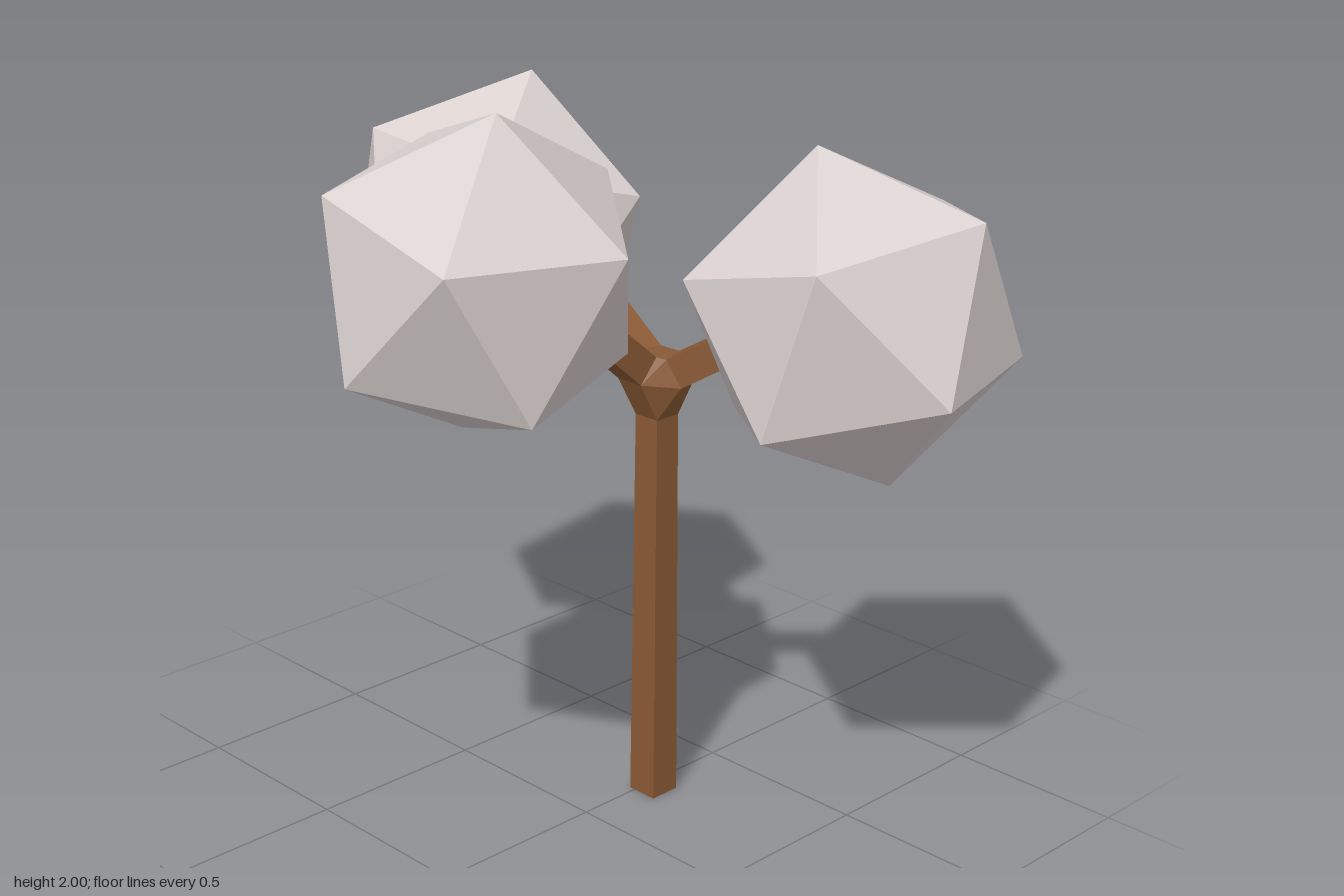
import * as THREE from 'three';
import { ConvexGeometry } from 'three/addons/geometries/ConvexGeometry.js';

const V = (x, y, z) => new THREE.Vector3(x, y, z);
const bark = new THREE.MeshStandardMaterial({ color: 0x8a5a35, flatShading: true });
const leaves = new THREE.MeshStandardMaterial({ color: 0xdad1cf, flatShading: true });

// Four corners of a square section centred on c, facing along dir
function section(c, dir, half) {
  const d = dir.clone().normalize();
  const side = Math.abs(d.y) > 0.99 ? V(1, 0, 0) : V(0, 1, 0).cross(d).normalize();
  const up = d.clone().cross(side).normalize();
  return [[-1, -1], [1, -1], [1, 1], [-1, 1]].map(([a, b]) =>
    c.clone().addScaledVector(side, a * half).addScaledVector(up, b * half));
}

function hull(name, points) {
  const mesh = new THREE.Mesh(new ConvexGeometry(points), bark);
  mesh.name = name;
  return mesh;
}

// Icosahedron turned so that two neighbouring corners point along a and b
function crown(name, centre, a, b) {
  const mesh = new THREE.Mesh(new THREE.IcosahedronGeometry(0.432, 0), leaves);
  const x = b.clone().normalize().sub(a.clone().normalize()).normalize();
  const y = a.clone().normalize().add(b.clone().normalize());
  y.addScaledVector(x, -y.dot(x)).normalize();
  mesh.quaternion.setFromRotationMatrix(new THREE.Matrix4().makeBasis(x, y, x.clone().cross(y)));
  mesh.position.copy(centre);
  mesh.name = name;
  return mesh;
}

export function createModel() {
  const group = new THREE.Group();
  group.name = 'tree';

  // Slightly tapered square trunk
  const up = V(0, 1, 0);
  const trunkTop = section(V(0.231, 1.1, 0.026), up, 0.039);
  group.add(hull('trunk', [...section(V(0.231, 0, 0.028), up, 0.045), ...trunkTop]));

  // Three square branches, joined to the trunk by a faceted fork
  const fork = [...trunkTop];
  const branches = [
    ['rightBranch', V(0.165, 1.24, 0.018), V(-0.04, 1.415, 0.016)],
    ['frontBranch', V(0.255, 1.23, 0.085), V(0.315, 1.33, 0.245)],
    ['backBranch', V(0.253, 1.225, -0.045), V(0.335, 1.348, -0.333)],
  ];
  for (const [name, start, end] of branches) {
    const dir = end.clone().sub(start);
    const base = section(start, dir, 0.042);
    fork.push(...base);
    group.add(hull(name, [...base, ...section(end, dir, 0.04)]));
  }
  group.add(hull('fork', fork));

  // Faceted leaf crowns
  group.add(
    crown('rightCrown', V(-0.343, 1.58, -0.013), V(-0.028, 0.42, 0.103), V(0.369, 0.21, 0.058)),
    crown('frontCrown', V(0.342, 1.462, 0.585), V(-0.035, 0.418, -0.103), V(0.361, 0.223, -0.035)),
    crown('backCrown', V(0.237, 1.486, -0.605), V(0.096, 0.421, 0.047), V(0.135, 0.21, -0.351)),
  );
  return group;
}
